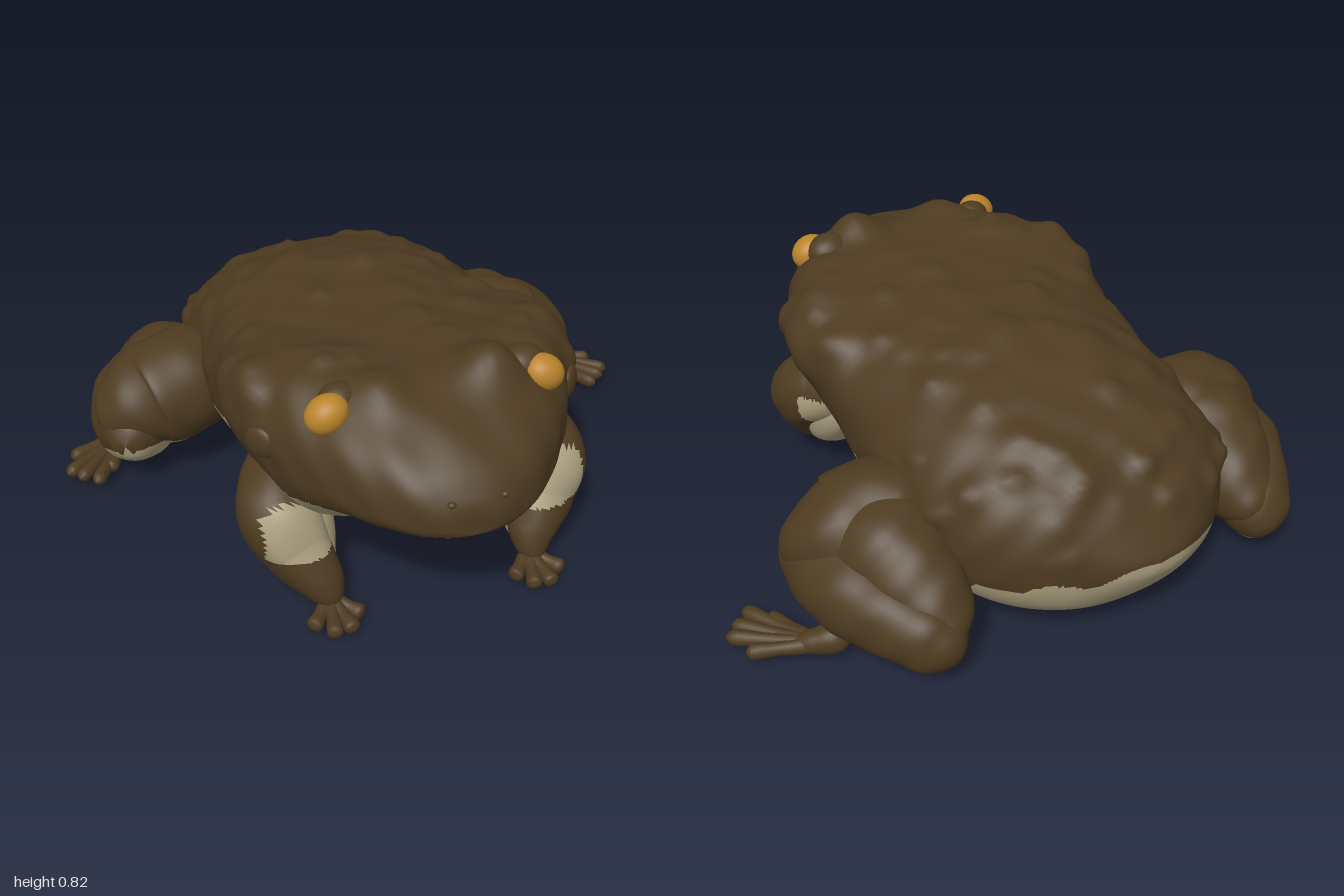
import * as THREE from 'three';

const mat = (name, color) => Object.assign(new THREE.MeshStandardMaterial({ color }), { name });
const brown = mat('brownSkin', 0x4e3b20);
const pale = mat('paleBelly', 0xaa9e7d);
const amber = mat('amberEye', 0xb9832b);

// Body sections from rump to snout: z, half width, top, bottom, height of widest point, colour border
const SECTIONS = [
  [-0.905, 0, 0.31, 0.28, 0.295, 0.29],
  [-0.89, 0.1, 0.335, 0.24, 0.29, 0.29],
  [-0.84, 0.21, 0.4, 0.16, 0.29, 0.26],
  [-0.77, 0.33, 0.48, 0.085, 0.3, 0.25],
  [-0.65, 0.44, 0.59, 0.03, 0.33, 0.22],
  [-0.5, 0.49, 0.655, 0.01, 0.35, 0.2],
  [-0.3, 0.5, 0.715, 0.03, 0.38, 0.25],
  [-0.1, 0.495, 0.735, 0.085, 0.42, 0.33],
  [0.1, 0.485, 0.74, 0.165, 0.48, 0.36],
  [0.3, 0.48, 0.755, 0.215, 0.53, 0.37],
  [0.45, 0.45, 0.76, 0.235, 0.53, 0.4],
  [0.55, 0.415, 0.755, 0.31, 0.53, 0.42],
  [0.65, 0.355, 0.735, 0.38, 0.53, 0.44],
  [0.75, 0.28, 0.695, 0.415, 0.52, 0.46],
  [0.83, 0.2, 0.645, 0.44, 0.51, 0.465],
  [0.88, 0.12, 0.59, 0.46, 0.5, 0.47],
  [0.9, 0.06, 0.55, 0.475, 0.5, 0.475],
  [0.905, 0, 0.51, 0.49, 0.5, 0.48],
];

function seeded(seed) {
  return () => (seed = (seed * 16807) % 2147483647) / 2147483647;
}

// Smooth interpolation through rows of numbers, t from 0 to 1
function spline(rows) {
  const track = new THREE.CubicInterpolant(rows.map((_, i) => i), rows.flat(), rows[0].length);
  return (t) => Array.from(track.evaluate(t * (rows.length - 1)));
}

// Closed skin around a path; point(t, angle) gives the surface, isPale(p, t) picks the colour
function skin(name, nu, nv, point, isPale, lift) {
  const pos = [];
  for (let i = 0; i <= nu; i++)
    for (let j = 0; j < nv; j++) pos.push(...point(i / nu, (j / nv) * Math.PI * 2));
  const tris = [[], []];
  const c = new THREE.Vector3();
  const add = (t, ...ids) => {
    c.set(0, 0, 0);
    ids.forEach((k) => { c.x += pos[k * 3] / 3; c.y += pos[k * 3 + 1] / 3; c.z += pos[k * 3 + 2] / 3; });
    tris[isPale(c, t) ? 1 : 0].push(...ids);
  };
  for (let i = 0; i < nu; i++)
    for (let j = 0; j < nv; j++) {
      const k = (j + 1) % nv, a = i * nv + j, b = i * nv + k;
      add((i + 0.5) / nu, a, b, a + nv);
      add((i + 0.5) / nu, b, b + nv, a + nv);
    }
  const geo = new THREE.BufferGeometry();
  geo.setAttribute('position', new THREE.Float32BufferAttribute(pos, 3));
  geo.setIndex([...tris[0], ...tris[1]]);
  geo.addGroup(0, tris[0].length, 0);
  geo.addGroup(tris[0].length, tris[1].length, 1);
  geo.computeVertexNormals();
  // Push the surface out along its normals for lumps and warts
  const P = geo.attributes.position, N = geo.attributes.normal;
  const p = new THREE.Vector3(), n = new THREE.Vector3();
  for (let i = 0; i < P.count; i++) {
    p.fromBufferAttribute(P, i);
    n.fromBufferAttribute(N, i);
    p.addScaledVector(n, lift(p, n));
    P.setXYZ(i, p.x, p.y, p.z);
  }
  geo.computeVertexNormals();
  const mesh = new THREE.Mesh(geo, [brown, pale]);
  mesh.name = name;
  return mesh;
}

const ripple = (p) => 0.004 * Math.sin(p.x * 31 + p.y * 17) * Math.sin(p.z * 27 + p.y * 23);

// Limb with a round section; rows are x, y, z, radius, and side mirrors it in x
function limb(name, side, rows, isPale = () => false, nu = 40, nv = 28, lift = ripple) {
  const curve = new THREE.CatmullRomCurve3(rows.map((r) => new THREE.Vector3(r[0] * side, r[1], r[2])));
  const radius = spline(rows.map((r) => [r[3] * r[3]]));
  const frames = Array.from({ length: nu + 1 }, (_, i) => {
    const T = curve.getTangent(i / nu);
    const N = new THREE.Vector3(0, 1, 0).addScaledVector(T, -T.y).normalize();
    return { c: curve.getPoint(i / nu), N, B: T.clone().cross(N) };
  });
  return skin(name, nu, nv, (t, a) => {
    const f = frames[Math.round(t * nu)];
    const r = Math.sqrt(Math.max(0, radius(t)[0]));
    return f.c.clone().addScaledVector(f.N, r * Math.cos(a)).addScaledVector(f.B, r * Math.sin(a)).toArray();
  }, isPale, lift);
}

// Fan of round-tipped toes
function toes(name, side, base, tips, r) {
  const g = new THREE.Group();
  g.name = name;
  tips.forEach(([x, y, z]) => {
    const at = (k) => base.map((b, i) => b + ([x, y, z][i] - b) * k);
    g.add(limb('toe', side, [[...at(0), 0], [...at(0.2), r], [...at(0.55), r * 0.85], [...at(0.9), r], [...at(1), 0]],
      () => false, 14, 10, () => 0));
  });
  return g;
}

function ball(name, material, pos, scale) {
  const m = new THREE.Mesh(new THREE.SphereGeometry(1, 28, 20), material);
  m.name = name;
  m.position.set(...pos);
  m.scale.set(...scale);
  return m;
}

function makeBody() {
  const section = spline(SECTIONS);
  const pow = (v, e) => Math.sign(v) * Math.abs(v) ** e;
  // Squarish sections at the head, rounder towards the rump
  const power = (z) => 0.9 - 0.12 * THREE.MathUtils.smoothstep(z, -0.3, 0.25);
  // Bumps: x, y, z, radius, height - brows, neck glands, then scattered warts
  const bumps = [[0.16, 0.76, 0.55, 0.085, 0.08], [-0.17, 0.76, 0.55, 0.09, 0.045]];
  for (const s of [1, -1])
    bumps.push([0.45 * s, 0.62, 0.28, 0.16, 0.05], [0.46 * s, 0.6, 0.12, 0.15, 0.035], [0.33 * s, 0.68, 0.43, 0.1, 0.035]);
  const rnd = seeded(77);
  for (let i = 0; i < 110; i++) {
    const [z, w, top, , mid] = section(0.12 + rnd() * 0.45);
    const a = Math.PI * (0.03 + 0.94 * rnd()), e = power(z);
    bumps.push([w * pow(Math.cos(a), e), mid + (top - mid) * pow(Math.sin(a), e), z,
      0.025 + rnd() * 0.03, 0.008 + rnd() * 0.014]);
  }
  const lift = (p, n) => {
    const up = THREE.MathUtils.smoothstep(n.y, -0.5, 0.1) * THREE.MathUtils.smoothstep(p.z, -0.88, -0.7);
    let h = ripple(p);
    for (const [x, y, z, r, k] of bumps) {
      const d = ((p.x - x) ** 2 + (p.y - y) ** 2 + (p.z - z) ** 2) / (r * r);
      if (d < 8) h += k * Math.exp(-d);
    }
    return h * up;
  };
  return skin('body', 150, 110, (t, a) => {
    const [z, w, top, bottom, mid] = section(t);
    const s = pow(Math.sin(a), power(z));
    const tail = Math.max(0, -0.5 - z) * 0.12;
    return [w * pow(Math.cos(a), power(z)) - tail, mid + s * (s > 0 ? top - mid : mid - bottom), z];
  }, (p, t) => p.y < section(t)[5] + 0.012 * Math.sin(p.z * 40 + p.x * 9) * (p.z < 0.5 ? 1 : 0.2), lift);
}

export function createModel() {
  const toad = new THREE.Group();
  toad.name = 'toad';
  const front = new THREE.Group();
  front.name = 'bodyAndForelegs';
  front.position.x = -0.03;
  const hind = new THREE.Group();
  hind.name = 'hindLegs';
  hind.position.x = -0.04;
  toad.add(front, hind);
  front.add(makeBody());

  for (const s of [1, -1]) {
    const side = s > 0 ? 'left' : 'right';
    // Face; the right eye is opened wider
    const eye = ball(side + 'Eye', amber, [0.318 * s, 0.716, 0.57], [0.064, 0.054, 0.054]);
    eye.rotation.z = -0.5 * s;
    const drum = ball(side + 'Eardrum', brown, [0.474 * s, 0.57, 0.44], [0.02, 0.05, 0.05]);
    drum.rotation.y = -0.7 * s;
    front.add(eye, drum);
    const lid = s > 0 ? 1 : 0.8;
    front.add(ball(side + 'Eyelid', brown, [0.27 * s, 0.726, 0.525], [0.075 * lid, 0.06 * lid, 0.062 * lid]));
    front.add(ball(side + 'Nostril', brown, [0.075 * s, 0.575, 0.878], [0.012, 0.01, 0.012]));

    // Foreleg, with a pale fold of skin behind it
    front.add(limb(side + 'Foreleg', s, [
      [0.35, 0.42, 0.18, 0], [0.39, 0.36, 0.3, 0.105], [0.43, 0.3, 0.41, 0.122],
      [0.39, 0.19, 0.47, 0.105], [0.34, 0.1, 0.54, 0.072], [0.32, 0.035, 0.59, 0],
    ], (p) => {
      const x = Math.abs(p.x);
      return (p.y > 0.21 && x < 0.5 && (p.z > 0.5 || x < 0.38)) || (x < 0.36 && p.z < 0.47) || (p.z < 0.3 && p.y < 0.36);
    }, 60, 44));
    front.add(limb(side + 'ForelegFold', s, [
      [0.33, 0.05, 0.56, 0], [0.34, 0.11, 0.47, 0.07], [0.36, 0.22, 0.36, 0.105], [0.37, 0.34, 0.17, 0],
    ], () => true));
    front.add(toes(side + 'Forefoot', s, [0.32, 0.045, 0.56],
      [[0.24, 0.03, 0.64], [0.285, 0.028, 0.695], [0.345, 0.028, 0.7], [0.4, 0.03, 0.65]], 0.025));

    // Folded hind leg
    const under = (p) => p.y < 0.08 + Math.max(0, p.z + 0.45) * 0.37;
    hind.add(limb(side + 'Thigh', s, [
      [0.36, 0.32, -0.46, 0], [0.47, 0.31, -0.38, 0.17], [0.58, 0.305, -0.325, 0.18],
      [0.68, 0.28, -0.31, 0.167], [0.83, 0.25, -0.24, 0],
    ], under, 60, 44));
    hind.add(limb(side + 'Calf', s, [
      [0.52, 0.3, -0.22, 0], [0.57, 0.285, -0.4, 0.175], [0.56, 0.25, -0.52, 0.165],
      [0.54, 0.2, -0.66, 0.115], [0.53, 0.17, -0.77, 0],
    ], under, 60, 44));
    hind.add(limb(side + 'Shin', s, [
      [0.775, 0.21, -0.16, 0], [0.72, 0.2, -0.3, 0.135], [0.685, 0.195, -0.46, 0.145],
      [0.62, 0.17, -0.62, 0.122], [0.565, 0.145, -0.725, 0.1], [0.54, 0.135, -0.795, 0],
    ], under, 60, 44));

    // Hind foot
    toad.add(limb(side + 'Ankle', s, [
      [0.69, 0.08, -0.5, 0], [0.73, 0.07, -0.485, 0.045], [0.78, 0.055, -0.46, 0.04], [0.85, 0.045, -0.42, 0],
    ]));
    toad.add(toes(side + 'Hindfoot', s, [0.78, 0.05, -0.47],
      [[0.975, 0.045, -0.39], [1, 0.045, -0.3], [0.965, 0.045, -0.26], [0.915, 0.045, -0.22], [0.86, 0.045, -0.28]], 0.024));
  }
  return toad;
}
